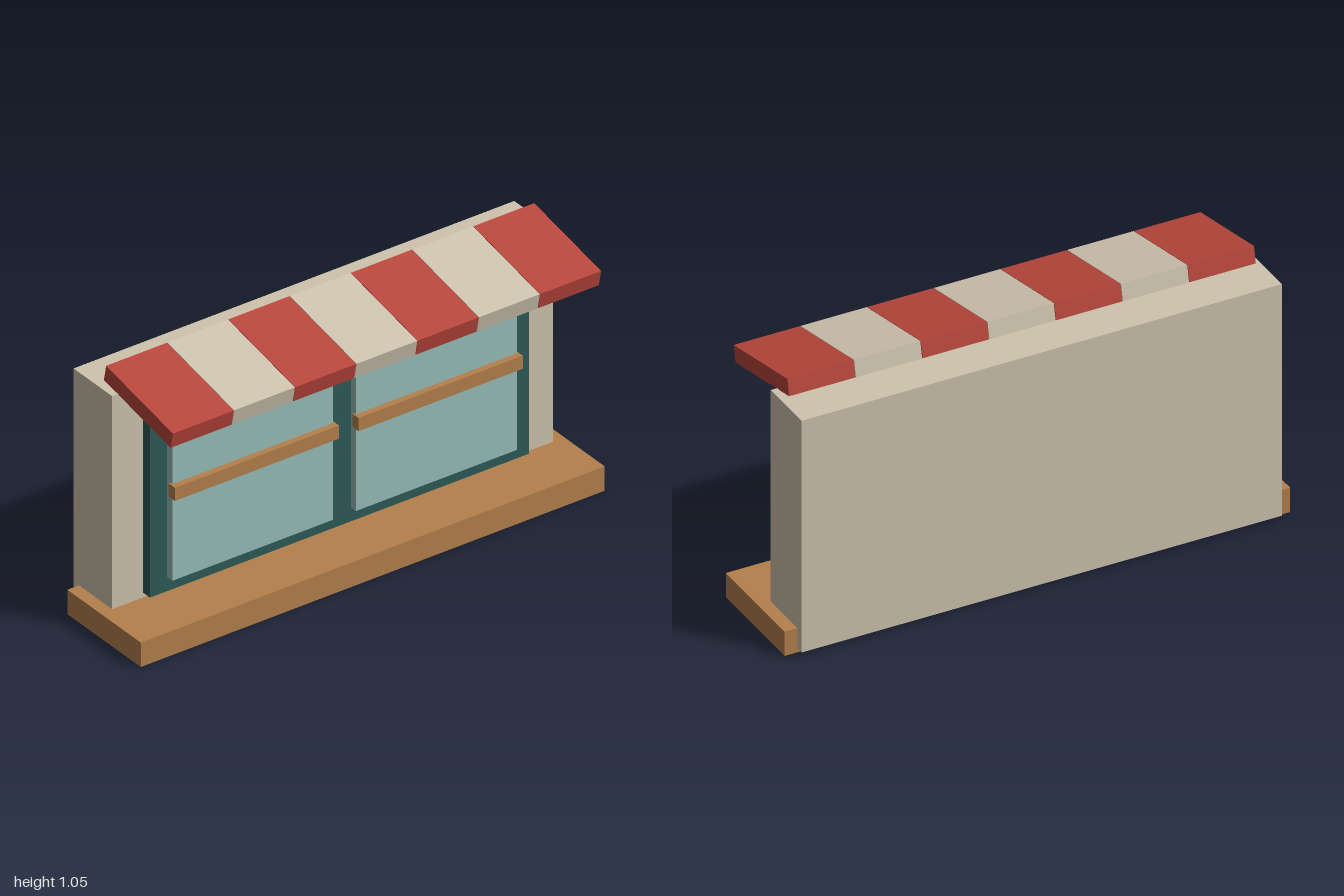
import * as THREE from 'three';

const material = (name, color) => {
  const m = new THREE.MeshStandardMaterial({ color });
  m.name = name;
  return m;
};

export function createModel() {
  const cream = material('cream', 0xcfc3ae);
  const red = material('red', 0xb9463b);
  const wood = material('wood', 0xb4804d);
  const teal = material('dark teal', 0x2d5a58);
  const glass = material('pale glass', 0x97beb7);

  const model = new THREE.Group();
  model.name = 'shopWindow';

  // Box given by its lower and upper limits on each axis
  const box = (name, mat, [x0, x1], [y0, y1], [z0, z1], parent = model) => {
    const mesh = new THREE.Mesh(new THREE.BoxGeometry(x1 - x0, y1 - y0, z1 - z0), mat);
    mesh.position.set((x0 + x1) / 2, (y0 + y1) / 2, (z0 + z1) / 2);
    mesh.name = name;
    parent.add(mesh);
    return mesh;
  };

  box('wall', cream, [-0.95, 0.95], [0.017, 0.972], [-0.276, -0.047]);
  box('sill', wood, [-1, 1], [0, 0.1], [-0.244, 0.192]);
  box('windowFrame', teal, [-0.817, 0.817], [0.12, 0.867], [-0.047, -0.005]);

  // Two panes, each with a wooden rail across it
  for (const [side, cx] of [['right', -0.396], ['left', 0.396]]) {
    box(side + 'Pane', glass, [cx - 0.347, cx + 0.347], [0.177, 0.79], [-0.005, 0.025]);
    box(side + 'Rail', wood, [cx - 0.354, cx + 0.354], [0.519, 0.573], [0.013, 0.05]);
  }

  // Awning sloping down to the front, in seven alternating stripes
  const awning = new THREE.Group();
  awning.name = 'awning';
  awning.position.set(0, 0.978, 0.072);
  awning.rotation.x = 0.2;
  const stripes = 7, pitch = 0.264, half = 0.131;
  for (let i = 0; i < stripes; i++) {
    const x = (i - (stripes - 1) / 2) * pitch;
    box('awningStripe' + (i + 1), i % 2 ? cream : red,
      [x - half, x + half], [-0.033, 0.033], [-0.2025, 0.2025], awning);
  }
  model.add(awning);

  return model;
}
